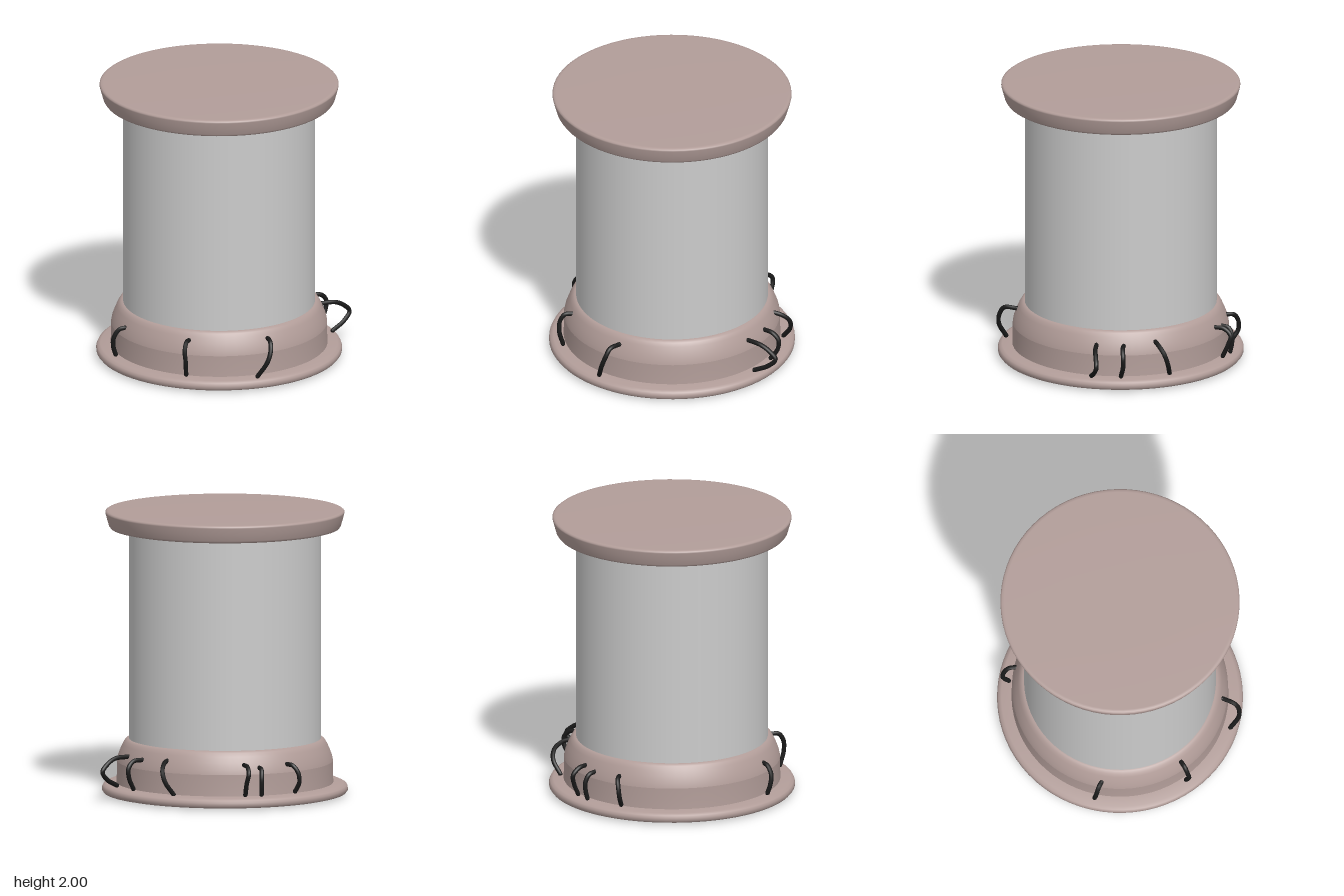
import * as THREE from 'three';

const AXIS_X = -0.022; // the drum stands slightly off centre
const paint = new THREE.MeshStandardMaterial({ color: 0xb29d99 });
const metal = new THREE.MeshStandardMaterial({ color: 0xcccccc });
const rubber = new THREE.MeshStandardMaterial({ color: 0x1a1a1a });

// Turned part from [radius, y] pairs, bottom to top; a repeated pair makes a sharp edge
function turned(name, profile, material) {
  const points = profile.map(([r, y]) => new THREE.Vector2(r, y));
  const mesh = new THREE.Mesh(new THREE.LatheGeometry(points, 72), material);
  mesh.name = name;
  mesh.position.x = AXIS_X;
  return mesh;
}

// Bent cable with rounded ends
function cable(points) {
  const group = new THREE.Group();
  group.name = 'cable';
  const path = points.map((p) => new THREE.Vector3(...p));
  const curve = new THREE.CatmullRomCurve3(path, false, 'centripetal');
  group.add(new THREE.Mesh(new THREE.TubeGeometry(curve, 28, 0.016, 8), rubber));
  for (const end of [path[0], path[path.length - 1]]) {
    const cap = new THREE.Mesh(new THREE.SphereGeometry(0.016, 8, 6), rubber);
    cap.position.copy(end);
    group.add(cap);
  }
  return group;
}

export function createModel() {
  const model = new THREE.Group();
  model.name = 'drum';

  // Base: rounded flange, upright ring, shoulder curving in to the body
  model.add(turned('base', [
    [0, 0], [0.4, 0.003], [0.82, 0.01], [0.843, 0.015], [0.855, 0.03],
    [0.855, 0.05], [0.847, 0.067], [0.825, 0.078], [0.755, 0.085], [0.755, 0.085],
    [0.752, 0.15], [0.752, 0.235], [0.752, 0.235], [0.745, 0.27], [0.728, 0.315], [0.71, 0.355],
    [0.695, 0.38], [0.678, 0.392], [0.66, 0.394],
  ], paint));

  // Plain cylindrical body
  model.add(turned('body', [[0.668, 0.37], [0.668, 1.88]], metal));

  // Lid: flared rim with soft edges and a nearly flat top
  model.add(turned('lid', [
    [0, 1.862], [0.6, 1.862], [0.775, 1.866], [0.797, 1.871], [0.807, 1.885],
    [0.82, 1.93], [0.832, 1.975], [0.831, 1.985], [0.822, 1.992], [0.805, 1.994],
    [0.4, 2], [0, 2],
  ], paint));

  // Cables looping from the shoulder down to the flange
  const cables = new THREE.Group();
  cables.name = 'cables';
  const paths = [
    // front
    [[-0.16, 0.33, 0.71], [-0.2, 0.33, 0.79], [-0.22, 0.28, 0.82], [-0.25, 0.2, 0.82], [-0.29, 0.09, 0.76]],
    // front, towards -x
    [[-0.61, 0.33, 0.4], [-0.66, 0.33, 0.43], [-0.69, 0.28, 0.45], [-0.69, 0.2, 0.46], [-0.67, 0.1, 0.44]],
    // -x side
    [[-0.74, 0.3, -0.15], [-0.775, 0.29, -0.17], [-0.81, 0.23, -0.19], [-0.805, 0.16, -0.2], [-0.785, 0.1, -0.2]],
    // +x side, front to back
    [[0.64, 0.3, 0.3], [0.75, 0.295, 0.33], [0.82, 0.26, 0.34], [0.865, 0.21, 0.345], [0.81, 0.15, 0.35], [0.71, 0.1, 0.35]],
    [[0.7, 0.3, 0.12], [0.77, 0.295, 0.14], [0.815, 0.25, 0.145], [0.81, 0.18, 0.145], [0.76, 0.1, 0.15]],
    [[0.67, 0.32, -0.1], [0.74, 0.3, -0.12], [0.79, 0.25, -0.15], [0.79, 0.18, -0.175], [0.73, 0.09, -0.2]],
    // back corner pair
    [[0.42, 0.3, -0.58], [0.45, 0.295, -0.64], [0.48, 0.25, -0.68], [0.48, 0.18, -0.66], [0.46, 0.1, -0.63]],
    [[0.33, 0.28, -0.64], [0.36, 0.27, -0.69], [0.38, 0.22, -0.71], [0.38, 0.16, -0.71], [0.37, 0.1, -0.7]],
    // back
    [[0.13, 0.29, -0.72], [0.125, 0.285, -0.77], [0.11, 0.24, -0.805], [0.1, 0.17, -0.81], [0.1, 0.1, -0.77]],
  ];
  for (const path of paths) cables.add(cable(path));
  model.add(cables);

  return model;
}
